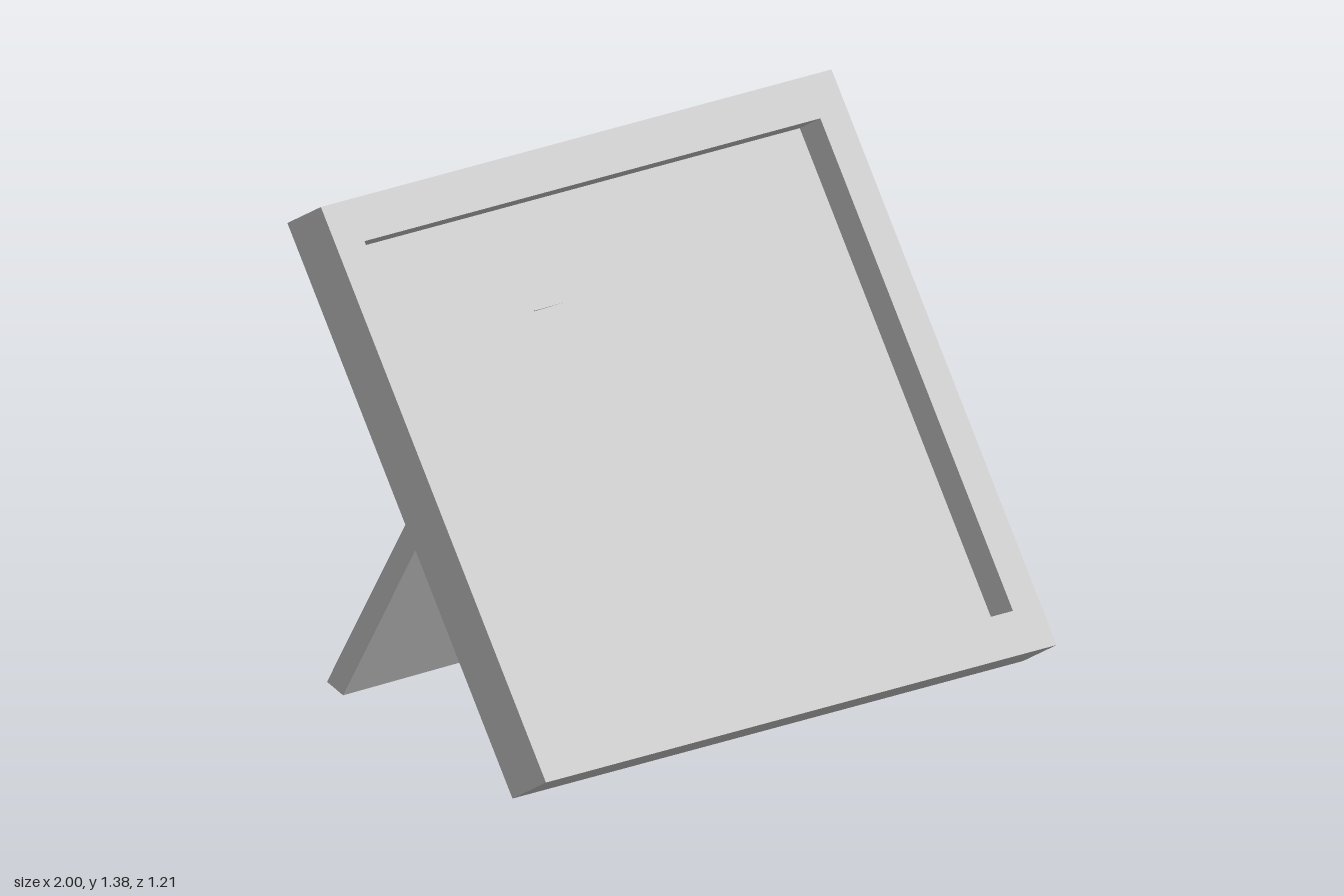
import * as THREE from 'three';

const material = new THREE.MeshStandardMaterial({ color: 0xcccccc, flatShading: true });

function addMesh(parent, name, geometry, z = 0) {
  const mesh = new THREE.Mesh(geometry, material);
  mesh.name = name;
  mesh.position.z = z;
  parent.add(mesh);
  return mesh;
}

// Counter-clockwise rectangle centred on the origin
function rectangle(path, w, h) {
  path.moveTo(-w / 2, -h / 2);
  path.lineTo(w / 2, -h / 2);
  path.lineTo(w / 2, h / 2);
  path.lineTo(-w / 2, h / 2);
  path.closePath();
  return path;
}

export function createModel() {
  const model = new THREE.Group();
  model.name = 'pictureFrame';

  const width = 1.992, height = 1.483, depth = 0.114;
  const border = 0.107, recess = 0.07;
  const innerW = width - 2 * border, innerH = height - 2 * border;

  // Leaning frame, very slightly turned and tilted
  const frame = new THREE.Group();
  frame.name = 'frame';
  frame.rotation.set(-0.48, 0.003, -0.004, 'YZX');
  frame.position.set(0, 0.69, 0.207);
  model.add(frame);

  // Border with a rectangular opening
  const outline = rectangle(new THREE.Shape(), width, height);
  outline.holes.push(rectangle(new THREE.Path(), innerW, innerH));
  const borderGeometry = new THREE.ExtrudeGeometry(outline, { depth, bevelEnabled: false });
  addMesh(frame, 'frameBorder', borderGeometry, -depth / 2);

  // Recessed panel, flush with the back
  const panelDepth = depth - recess;
  addMesh(frame, 'picturePanel', new THREE.BoxGeometry(innerW, innerH, panelDepth), -recess / 2);

  // Rear support leg, off centre and a little askew
  const stand = addMesh(model, 'standLeg', new THREE.BoxGeometry(0.49, 1.164, 0.055));
  stand.rotation.set(0.511, 0.022, -0.004, 'YZX');
  stand.position.set(-0.0625, 0.524, -0.289);

  return model;
}
